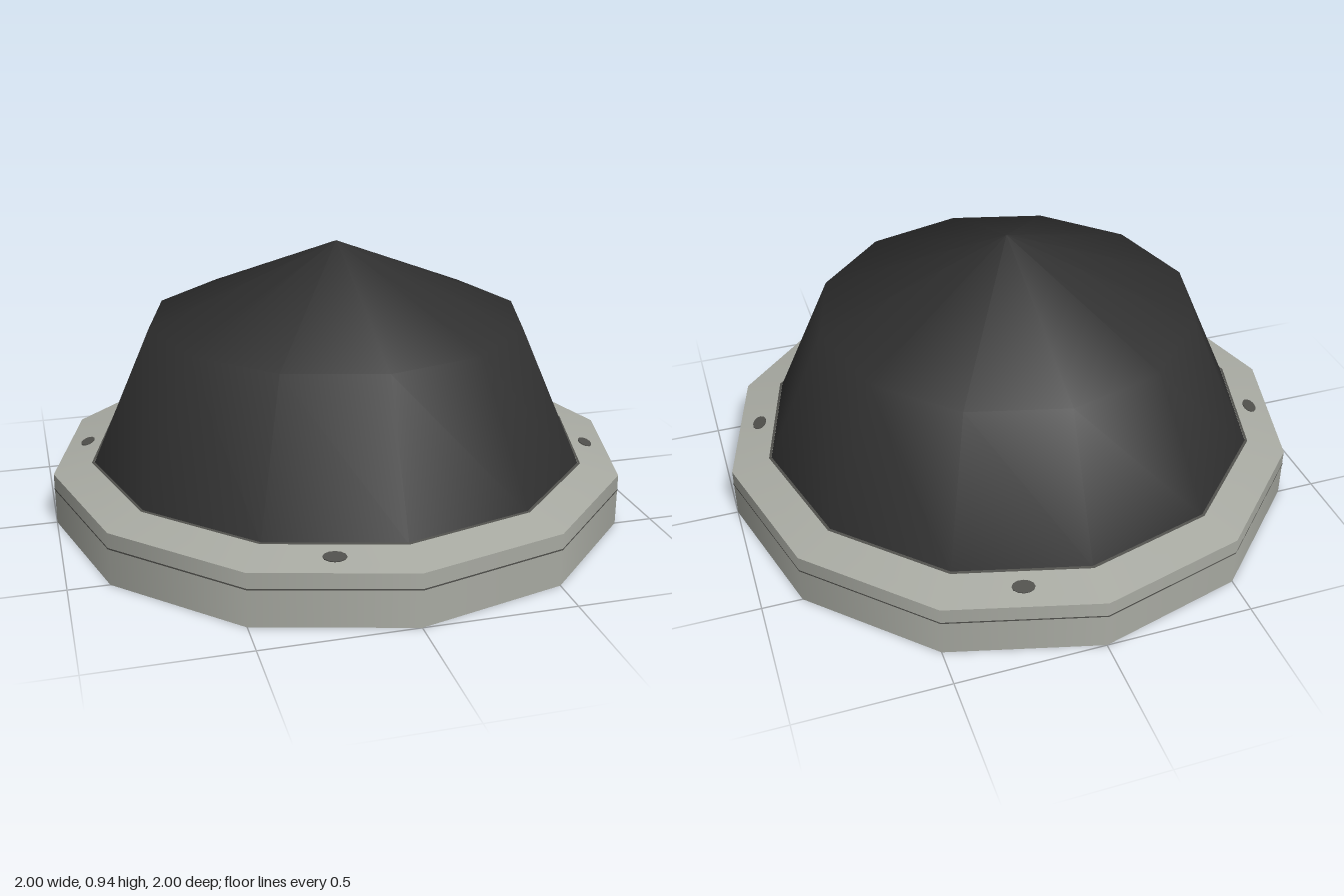
import * as THREE from 'three';

const SIDES = 12;
const mat = (name, color) => {
  const m = new THREE.MeshStandardMaterial({ color, side: THREE.DoubleSide });
  m.name = name;
  return m;
};

export function createModel() {
  const model = new THREE.Group();
  const stone = mat('pale grey', 0xa9aba3);
  const glass = mat('near black', 0x2f2f2f);
  const grime = mat('dark grey', 0x50504c);

  // Twelve-sided open surface from [radius, height] points
  const turn = (name, points, material) => {
    const profile = points.map(([r, y]) => new THREE.Vector2(r, y));
    const mesh = new THREE.Mesh(new THREE.LatheGeometry(profile, SIDES), material);
    mesh.name = name;
    model.add(mesh);
  };

  // Base ring: open-bottomed wall and gently sloping top, with a crease between
  turn('ringWall', [[1, 0], [1, 0.18]], stone);
  turn('ringTop', [[1, 0.18], [0.86, 0.21]], stone);

  // Hollow dome
  turn('dome', [[0.862, 0.205], [0.652, 0.676], [0, 0.94]], glass);

  // Thin seam around the wall and where the dome meets the ring
  turn('wallSeam', [[1.001, 0.124], [1.001, 0.129]], grime);
  turn('domeSeam', [[0.869, 0.2095], [0.86, 0.2115]], grime);

  // Four oval fixings lying on the sloping top
  for (let i = 0; i < 4; i++) {
    const holder = new THREE.Group();
    holder.name = 'fixing';
    holder.rotation.y = THREE.MathUtils.degToRad(-15 + 90 * i);
    const spot = new THREE.Mesh(new THREE.CylinderGeometry(1, 1, 0.006, 12), grime);
    spot.name = 'fixingSpot';
    spot.scale.set(0.037, 1, 0.024);
    spot.position.set(0, 0.196, 0.895);
    spot.rotation.x = 0.217;
    holder.add(spot);
    model.add(holder);
  }
  return model;
}
